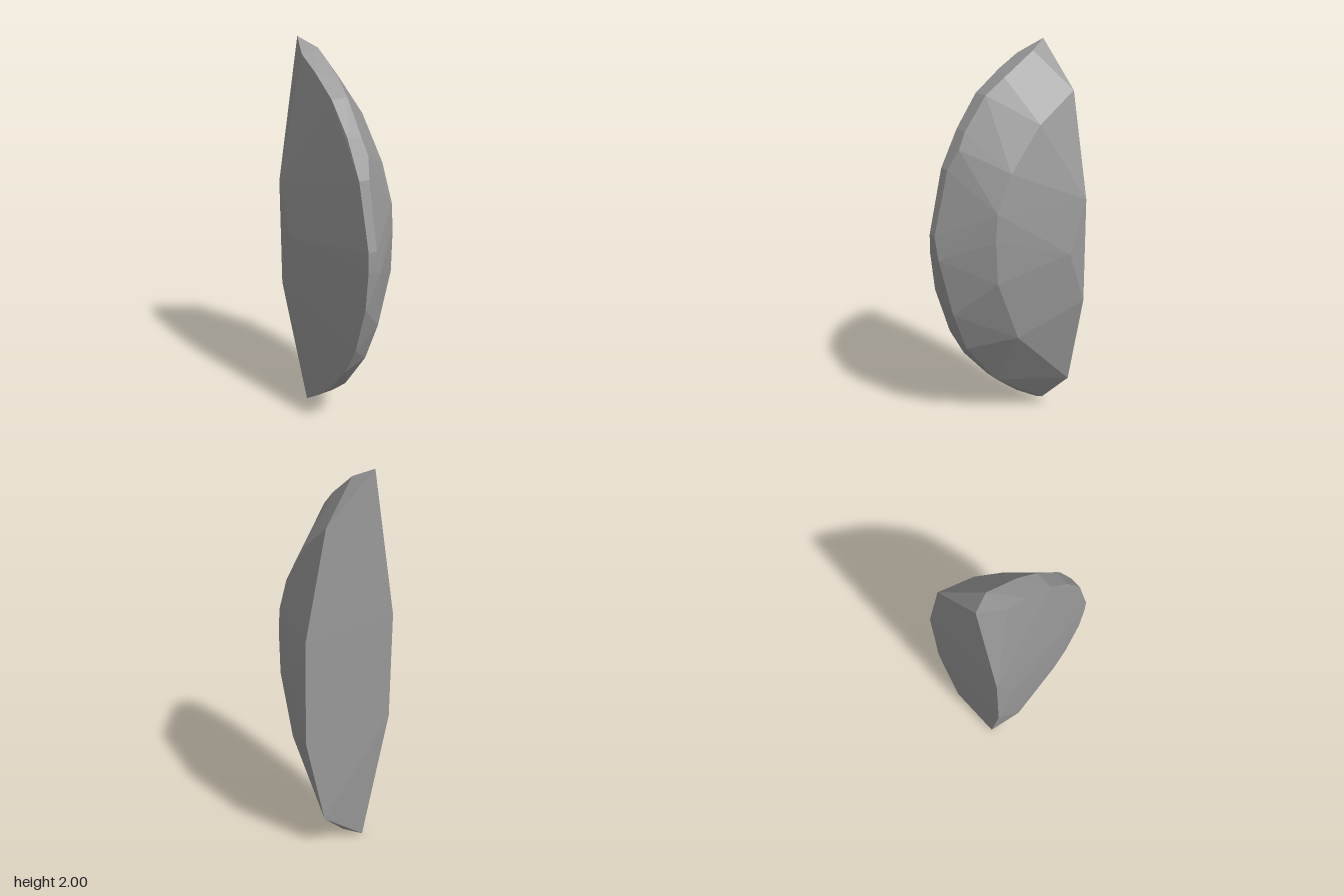
import * as THREE from 'three';
import { ConvexGeometry } from 'three/addons/geometries/ConvexGeometry.js';

export function createModel() {
  const grey = new THREE.MeshStandardMaterial({ color: 0x999999 });
  grey.name = 'stoneGrey';
  grey.flatShading = true;

  // Curved front outline as [z, y], followed by the left hand rim
  const outline = [
    [-0.2, 1.93], [-0.09, 1.86], [0.05, 1.75], [0.165, 1.59], [0.26, 1.4], [0.335, 1.07],
    [0.335, 0.97], [0.312, 0.77], [0.23, 0.52], [0.145, 0.37], [0, 0.21], [-0.13, 0.11],
  ];
  const rim = outline.map(([z, y]) => [y > 1.7 || y < 0.2 ? -0.175 : -0.168, y, z]);

  // Irregular front ridge
  const ridge = [
    [-0.068, 1.95, -0.22], [-0.07, 1.83, -0.05], [-0.085, 1.75, 0.05], [-0.09, 1.58, 0.17],
    [-0.08, 1.5, 0.21], [-0.11, 1.4, 0.26], [-0.12, 1.07, 0.335], [-0.095, 0.95, 0.33],
    [-0.06, 0.65, 0.27], [-0.075, 0.44, 0.185], [-0.07, 0.21, 0], [-0.07, 0.11, -0.13],
  ];

  // Arc where the front meets the steep side
  const sideArc = [
    [-0.325, 1.77], [-0.125, 1.62], [0.045, 1.4], [0.125, 1.21], [0.135, 1.07],
    [0.125, 0.85], [0, 0.53], [-0.33, 0.21],
  ].map(([z, y]) => [0.13, y, z]);

  // Tips and the two broad edges of the flat back
  const back = [
    [-0.122, 2, -0.322], [-0.122, 0, -0.3], [-0.02, 0.05, -0.27],
    [-0.24, 1.28, -0.335], [-0.24, 0.72, -0.335], [-0.24, 1.0, -0.25],
    [0.24, 1.24, -0.333], [0.24, 0.7, -0.333], [0.24, 0.97, -0.24],
  ];

  const points = [...rim, ...ridge, ...sideArc, ...back].map((p) => new THREE.Vector3(...p));
  const stone = new THREE.Mesh(new ConvexGeometry(points), grey);
  stone.name = 'stoneShard';

  const group = new THREE.Group();
  group.name = 'stone';
  group.add(stone);
  return group;
}
